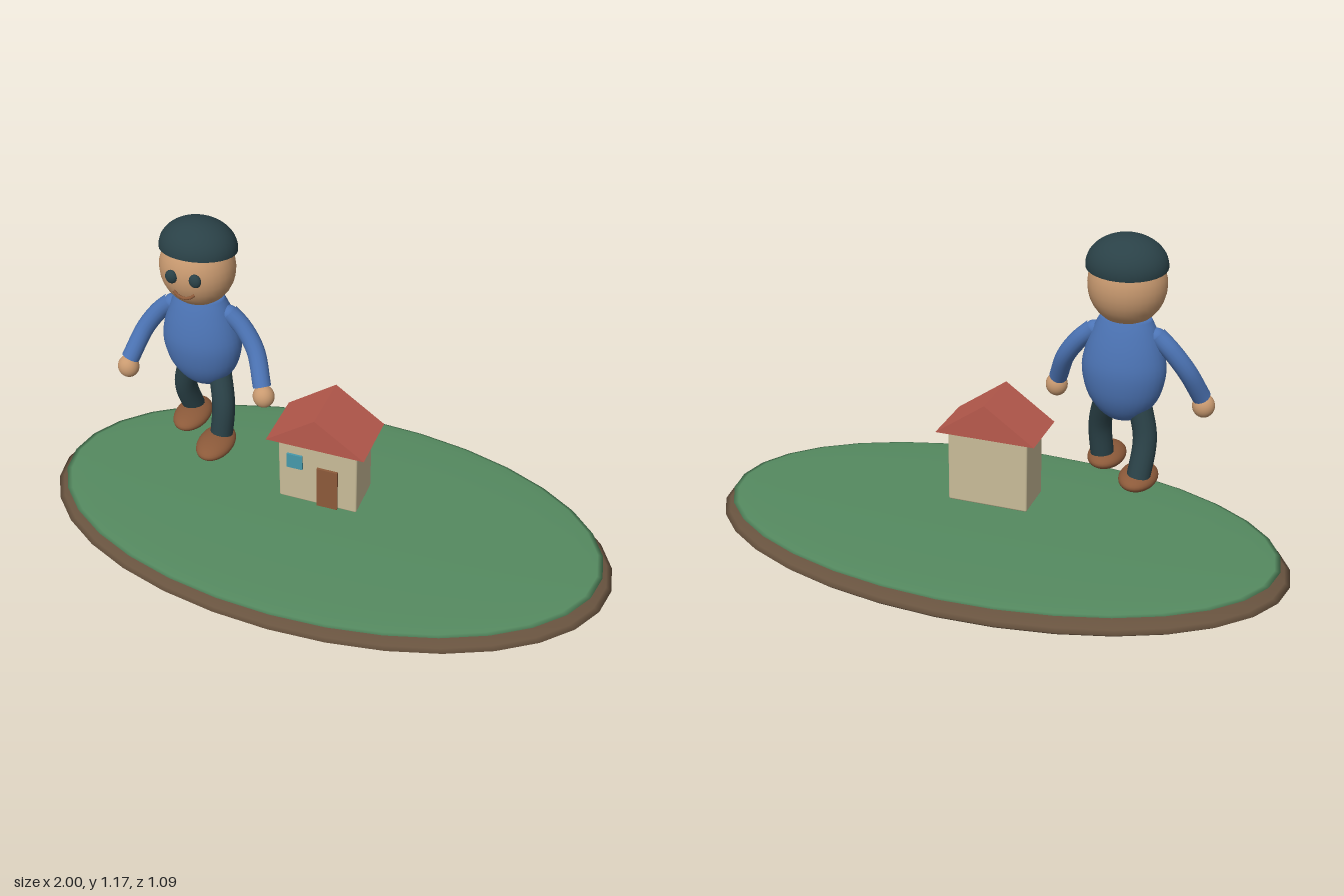
import * as THREE from 'three';
import { RoundedBoxGeometry } from 'three/addons/geometries/RoundedBoxGeometry.js';

function paint(name, color) {
  const m = new THREE.MeshStandardMaterial({ color });
  m.name = name;
  return m;
}

export function createModel() {
  const soil = paint('soil', 0x68533f);
  const grass = paint('grass', 0x558a60);
  const cream = paint('cream', 0xc9bc98);
  const red = paint('roofRed', 0xb85a4d);
  const brown = paint('brown', 0x8c5a3a);
  const glass = paint('glass', 0x4799ab);
  const skin = paint('skin', 0xc99a70);
  const blue = paint('blue', 0x4c74b5);
  const dark = paint('darkTeal', 0x2a4147);

  const model = new THREE.Group();
  const add = (parent, name, geometry, material, x = 0, y = 0, z = 0) => {
    const mesh = new THREE.Mesh(geometry, material);
    mesh.name = name;
    mesh.position.set(x, y, z);
    parent.add(mesh);
    return mesh;
  };
  const ellipsoid = (parent, name, material, pos, radii, theta = Math.PI) => {
    const mesh = add(parent, name, new THREE.SphereGeometry(1, 32, 16, 0, Math.PI * 2, 0, theta), material, ...pos);
    mesh.scale.set(...radii);
    return mesh;
  };
  const limb = (parent, name, material, points, radius) => {
    const curve = new THREE.CatmullRomCurve3(points.map((p) => new THREE.Vector3(...p)));
    return add(parent, name, new THREE.TubeGeometry(curve, 20, radius, 16), material);
  };

  // Island: two very flat ellipsoids
  const island = new THREE.Group();
  island.name = 'island';
  model.add(island);
  ellipsoid(island, 'soilBase', soil, [0, 0.058, 0], [1, 0.058, 0.545]);
  ellipsoid(island, 'grassTop', grass, [0, 0.105, 0], [0.965, 0.016, 0.525]);

  // House
  const house = new THREE.Group();
  house.name = 'house';
  model.add(house);
  add(house, 'walls', new RoundedBoxGeometry(0.275, 0.255, 0.154, 2, 0.006), cream, 0, 0.328, 0.001);
  const gable = new THREE.Shape();
  gable.moveTo(-0.17, 0.455);
  gable.lineTo(0.17, 0.455);
  gable.lineTo(0, 0.575);
  gable.closePath();
  add(house, 'roof', new THREE.ExtrudeGeometry(gable, { depth: 0.21, bevelEnabled: false }), red, 0, 0, -0.104);
  add(house, 'door', new THREE.BoxGeometry(0.072, 0.16, 0.009), brown, 0.036, 0.281, 0.082);
  add(house, 'window', new THREE.BoxGeometry(0.055, 0.056, 0.009), glass, -0.079, 0.368, 0.081);

  // Walking figure
  const figure = new THREE.Group();
  figure.name = 'figure';
  figure.position.x = -0.427;
  model.add(figure);

  // Sweater body, oval in plan
  const profile = new THREE.SplineCurve([
    [0, 0.553], [0.045, 0.566], [0.086, 0.6], [0.119, 0.655], [0.134, 0.73],
    [0.123, 0.8], [0.1, 0.865], [0.08, 0.905],
  ].map((p) => new THREE.Vector2(...p))).getPoints(24);
  profile[0].x = 0;
  profile.push(new THREE.Vector2(0, 0.907));
  const body = add(figure, 'sweater', new THREE.LatheGeometry(profile, 32), blue);
  body.scale.z = 0.7;

  // Head, hair and face
  ellipsoid(figure, 'head', skin, [0, 1.01, 0.002], [0.123, 0.13, 0.113]);
  const hair = ellipsoid(figure, 'hair', dark, [0, 1.074, -0.011], [0.127, 0.095, 0.11], Math.PI * 0.52);
  hair.rotation.x = -0.13;
  const hairUnder = add(figure, 'hairUnderside', new THREE.CircleGeometry(1, 32), dark, 0, 1.069, -0.011);
  hairUnder.scale.set(0.126, 0.109, 1);
  hairUnder.rotation.x = Math.PI / 2 - 0.13;
  limb(figure, 'mouth', brown, [[-0.036, 0.972, 0.108], [-0.02, 0.96, 0.112], [0, 0.955, 0.113],
    [0.02, 0.96, 0.112], [0.036, 0.972, 0.108]], 0.005);

  for (const side of [-1, 1]) {
    const label = side > 0 ? 'left' : 'right';
    ellipsoid(figure, label + 'Eye', dark, [side * 0.04, 1.024, 0.11], [0.02, 0.023, 0.014]);

    // Arms hang outward and forward
    limb(figure, label + 'Arm', blue, [[side * 0.1, 0.853, 0], [side * 0.145, 0.81, 0.002],
      [side * 0.195, 0.74, 0.02], [side * 0.235, 0.64, 0.07]], 0.03);
    ellipsoid(figure, label + 'Shoulder', blue, [side * 0.1, 0.848, 0], [0.029, 0.029, 0.029]);
    ellipsoid(figure, label + 'Hand', skin, [side * 0.242, 0.608, 0.076], [0.036, 0.039, 0.034]);

    // Left leg strides forward, right leg trails
    const stride = side * 0.06;
    limb(figure, label + 'Leg', dark, [[side * 0.055, 0.62, 0], [side * 0.082, 0.51, stride * 0.5 + 0.012],
      [side * 0.076, 0.385, stride]], 0.038);
    ellipsoid(figure, label + 'Shoe', brown, [side * 0.069, 0.378, side > 0 ? 0.09 : -0.028],
      [0.061, 0.033, 0.094]);
  }

  return model;
}
